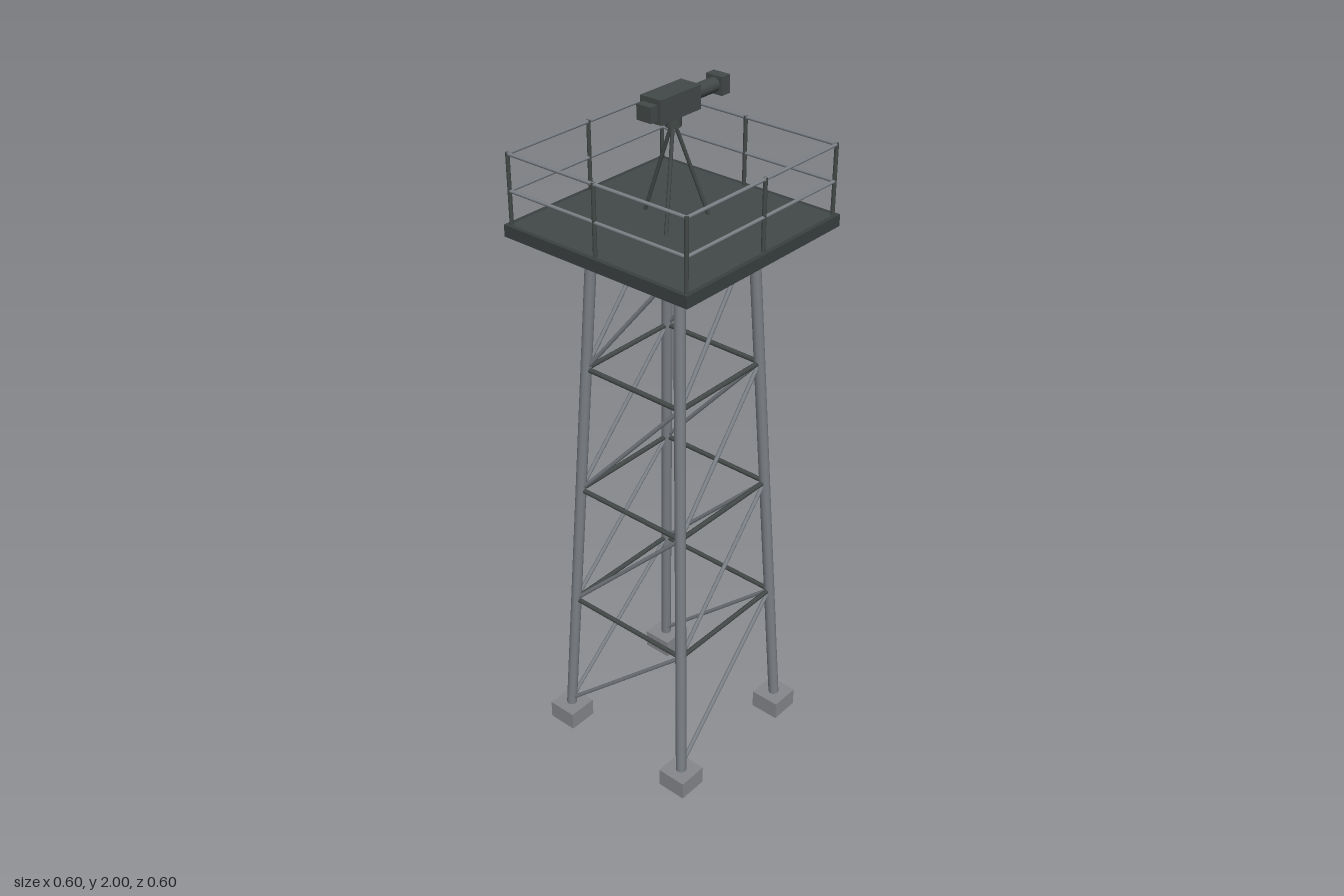
import * as THREE from 'three';

const mat = (name, color) => {
  const m = new THREE.MeshStandardMaterial({ color });
  m.name = name;
  return m;
};

export function createModel() {
  const steel = mat('galvanised steel', 0x7b8086);
  const dark = mat('dark metal', 0x434948);
  const trim = mat('frame metal', 0x3a4040);
  const concrete = mat('concrete', 0x85878b);

  const model = new THREE.Group();
  model.name = 'watchTower';
  const group = (name) => {
    const g = new THREE.Group();
    g.name = name;
    model.add(g);
    return g;
  };
  const add = (parent, name, geo, material, x = 0, y = 0, z = 0) => {
    const m = new THREE.Mesh(geo, material);
    m.name = name;
    m.position.set(x, y, z);
    parent.add(m);
    return m;
  };
  const box = (parent, name, w, h, d, material, x, y, z) =>
    add(parent, name, new THREE.BoxGeometry(w, h, d), material, x, y, z);

  // Round bar between two points
  const up = new THREE.Vector3(0, 1, 0);
  const bar = (parent, name, a, b, r, material) => {
    const dir = b.clone().sub(a);
    const m = add(parent, name, new THREE.CylinderGeometry(r, r, dir.length(), 10), material);
    m.position.copy(a).add(b).multiplyScalar(0.5);
    m.quaternion.setFromUnitVectors(up, dir.normalize());
  };
  const V = (x, y, z) => new THREE.Vector3(x, y, z);

  // Tapering tower: a leg corner at height y
  const yLow = 0.07, yHigh = 1.625;
  const corner = (sx, sz, y) => {
    const s = THREE.MathUtils.mapLinear(y, 0.06, 1.63, 0.221, 0.145);
    return V(sx * s, y, sz * s);
  };
  const corners = [[-1, 1], [1, 1], [1, -1], [-1, -1]];

  // Footings and legs
  const legs = group('legs');
  for (const [sx, sz] of corners) {
    box(legs, 'footing', 0.09, 0.056, 0.09, concrete, sx * 0.221, 0.028, sz * 0.221);
    bar(legs, 'leg', corner(sx, sz, 0.04), corner(sx, sz, 1.635), 0.0155, steel);
  }

  // Bracing: four panels per side, each with a diagonal and a top girt
  const bracing = group('bracing');
  const levels = [0, 1, 2, 3, 4].map((i) => yLow + (yHigh - yLow) * i / 4);
  for (let i = 0; i < 4; i++) {
    const lo = levels[i], hi = levels[i + 1];
    for (const s of [-1, 1]) {
      bar(bracing, 'girt', corner(-1, s, hi), corner(1, s, hi), 0.007, dark);
      bar(bracing, 'girt', corner(s, -1, hi), corner(s, 1, hi), 0.007, dark);
      bar(bracing, 'diagonal', corner(-1, s, lo), corner(1, s, hi), 0.0058, steel);
      bar(bracing, 'diagonal', corner(s, -1, lo), corner(s, 1, hi), 0.0058, steel);
    }
  }

  // Deck with an edge frame
  const platform = group('platform');
  box(platform, 'deck', 0.576, 0.033, 0.576, dark, 0, 1.6435, 0);
  for (const s of [-1, 1]) {
    box(platform, 'edgeFrame', 0.6, 0.033, 0.012, trim, 0, 1.6435, s * 0.294);
    box(platform, 'edgeFrame', 0.012, 0.033, 0.576, trim, s * 0.294, 1.6435, 0);
  }

  // Guard rail: eight posts and two rails all round
  const railing = group('railing');
  const e = 0.286;
  for (const x of [-e, 0, e]) {
    for (const z of [-e, 0, e]) {
      if (x || z) bar(railing, 'post', V(x, 1.655, z), V(x, 1.851, z), 0.0055, dark);
    }
  }
  for (const y of [1.75, 1.847]) {
    corners.forEach(([ax, az], i) => {
      const [bx, bz] = corners[(i + 1) % 4];
      bar(railing, 'rail', V(ax * e, y, az * e), V(bx * e, y, bz * e), 0.0047, steel);
    });
  }

  // Tripod
  const tripod = group('tripod');
  for (let i = 0; i < 3; i++) {
    const a = Math.PI / 6 + i * Math.PI * 2 / 3;
    bar(tripod, 'tripodLeg', V(Math.cos(a) * 0.095, 1.658, Math.sin(a) * 0.095),
      V(Math.cos(a) * 0.004, 1.912, Math.sin(a) * 0.004), 0.005, dark);
  }
  add(tripod, 'mount', new THREE.CylinderGeometry(0.021, 0.021, 0.032, 16), dark, 0, 1.923, 0);

  // Viewing device pointing to +x
  const device = group('viewer');
  const cy = 1.969;
  box(device, 'body', 0.149, 0.062, 0.064, dark, -0.0085, cy, 0);
  box(device, 'eyepiece', 0.024, 0.04, 0.046, dark, -0.095, cy - 0.002, 0);
  bar(device, 'tube', V(0.06, cy, 0), V(0.157, cy, 0), 0.0195, dark);
  box(device, 'lensHood', 0.031, 0.048, 0.052, dark, 0.1695, cy, 0);

  return model;
}
